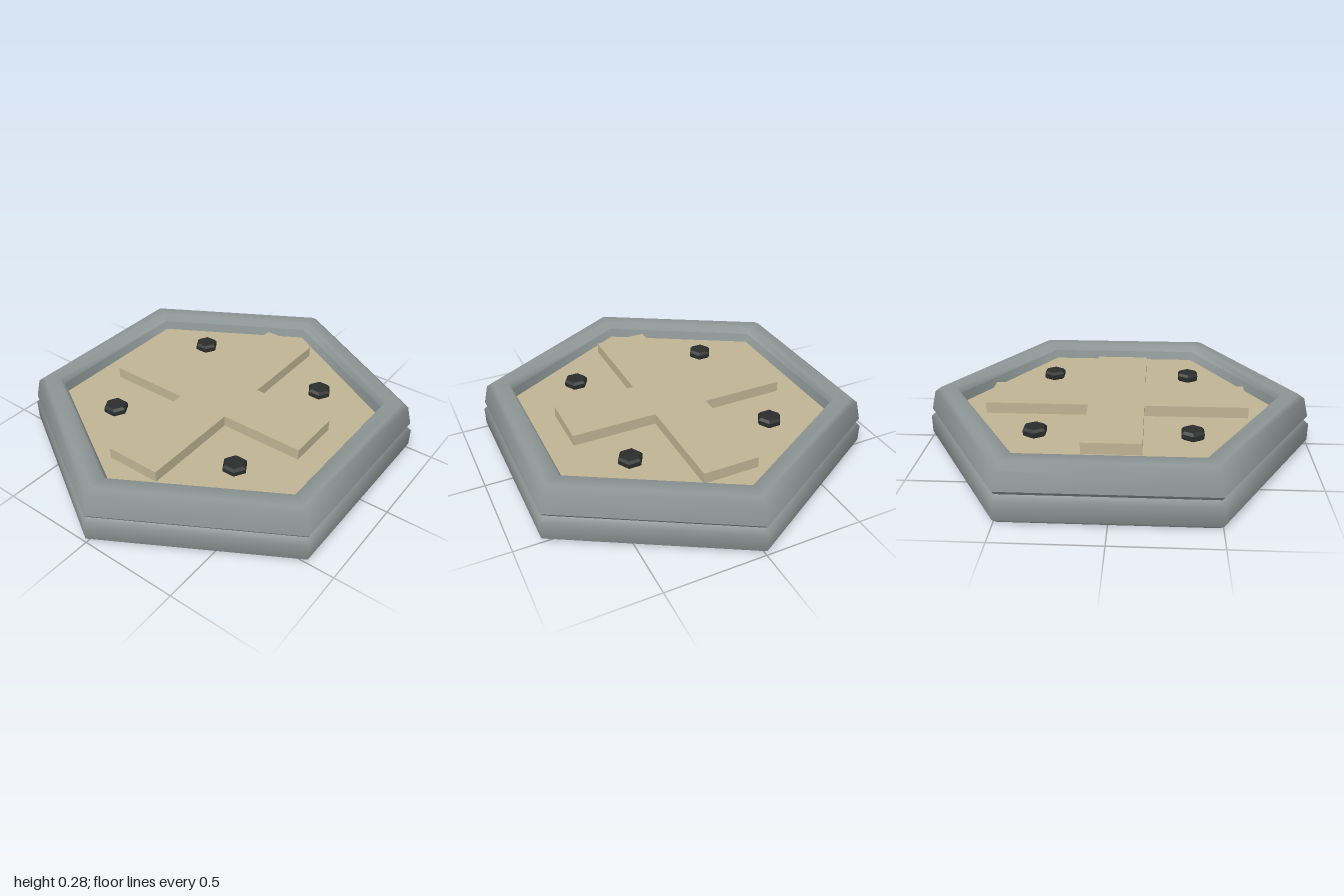
import * as THREE from 'three';

const SIDES = 6;

export function createModel() {
  const group = new THREE.Group();
  group.name = 'hexagonalPlate';
  const mat = (name, color) => {
    const m = new THREE.MeshStandardMaterial({ color });
    m.name = name;
    return m;
  };
  const metal = mat('greyMetal', 0x8c9695);
  const sand = mat('sandPanel', 0xbfb393);
  const dark = mat('darkBolt', 0x2b2d2d);

  const add = (name, geometry, material, x = 0, y = 0, z = 0) => {
    const mesh = new THREE.Mesh(geometry, material);
    mesh.name = name;
    mesh.position.set(x, y, z);
    group.add(mesh);
    return mesh;
  };

  // Six-sided ring surfaces with corners on the x axis; each is smooth, with sharp breaks between them
  const ring = (name, profile) => add(name, new THREE.LatheGeometry(
    profile.map(([r, y]) => new THREE.Vector2(r, y)), SIDES, Math.PI / 2), metal);
  ring('underside', [[0, 0], [0.97, 0]]);
  ring('lowerRim', [[0.97, 0], [1, 0.025], [1, 0.115], [0.972, 0.14]]);
  ring('groove', [[0.972, 0.14], [0.99, 0.16]]);
  ring('upperRim', [[0.99, 0.16], [0.965, 0.26], [0.93, 0.285], [0.85, 0.285], [0.828, 0.25]]);
  ring('innerWall', [[0.828, 0.25], [0.81, 0.2]]);

  // Recessed panel
  add('panel', new THREE.CylinderGeometry(0.812, 0.812, 0.05, SIDES, 1, false, Math.PI / 2).toNonIndexed(),
    sand, 0, 0.18, 0);

  // Raised cross as one outline, so the arms do not overlap
  const W = 0.142, X = 0.665, Z = 0.575;
  const outline = [[X, -W], [X, W], [W, W], [W, Z], [-W, Z], [-W, W],
    [-X, W], [-X, -W], [-W, -W], [-W, -Z], [W, -Z], [W, -W]];
  const shape = new THREE.Shape(outline.map(([x, z]) => new THREE.Vector2(x, z)));
  const cross = new THREE.ExtrudeGeometry(shape, { depth: 0.06, bevelEnabled: false });
  cross.rotateX(-Math.PI / 2);
  add('raisedCross', cross, sand, 0, 0.202, 0);

  // Bolts: hex heads with chamfered edges
  const boltProfile = [[0.05, 0], [0.062, 0.01], [0.062, 0.032], [0.05, 0.045], [0, 0.045]];
  const bolt = new THREE.LatheGeometry(
    boltProfile.map(([r, y]) => new THREE.Vector2(r, y)), SIDES).toNonIndexed();
  bolt.computeVertexNormals();
  for (const sx of [-1, 1]) {
    for (const sz of [-1, 1]) {
      add(`${sz > 0 ? 'front' : 'back'}${sx > 0 ? 'Left' : 'Right'}Bolt`, bolt, dark, sx * 0.378, 0.204, sz * 0.378);
    }
  }

  return group;
}
